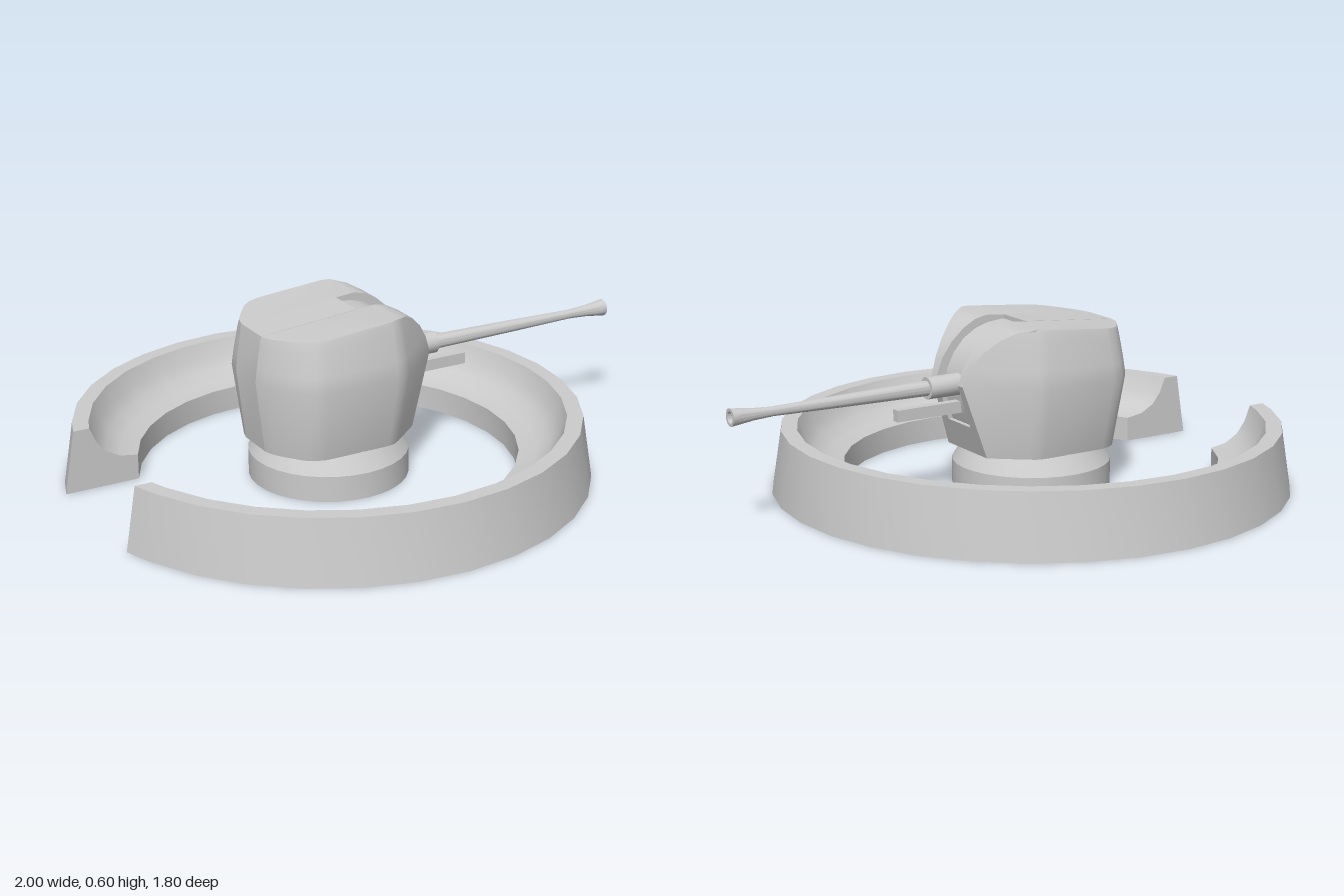
import * as THREE from 'three';
import { toCreasedNormals } from 'three/addons/utils/BufferGeometryUtils.js';

const CX = -0.14; // axis of ring and pedestal
const GAP = 0.25; // half width of the ring opening

const material = new THREE.MeshStandardMaterial({ color: 0xcccccc });
const openMaterial = new THREE.MeshStandardMaterial({ color: 0xcccccc, side: THREE.DoubleSide });

// Skin a list of cross-sections (arrays of [x, y, z]); caps are fans
function loft(sections, closed, crease) {
  const pos = sections.flat(2), idx = [];
  const n = sections[0].length;
  for (let i = 0; i < sections.length - 1; i++) {
    for (let j = 0; j < (closed ? n : n - 1); j++) {
      const k = (j + 1) % n;
      const a = i * n + j, b = i * n + k, c = b + n, d = a + n;
      idx.push(a, b, c, a, c, d);
    }
  }
  if (closed) {
    for (const i of [0, sections.length - 1]) {
      const centre = [0, 1, 2].map((q) => sections[i].reduce((t, p) => t + p[q], 0) / n);
      const m = pos.length / 3;
      pos.push(...centre);
      for (let j = 0; j < n; j++) {
        const a = i * n + j, b = i * n + ((j + 1) % n);
        if (i) idx.push(m, a, b); else idx.push(m, b, a);
      }
    }
  }
  const g = new THREE.BufferGeometry();
  g.setAttribute('position', new THREE.Float32BufferAttribute(pos, 3));
  g.setIndex(idx);
  return toCreasedNormals(g, crease);
}

function shapeOf(points) {
  return new THREE.Shape(points.map(([x, y]) => new THREE.Vector2(x, y)));
}

function add(parent, name, geometry, mat = material) {
  const mesh = new THREE.Mesh(geometry, mat);
  mesh.name = name;
  parent.add(mesh);
  return mesh;
}

// Parapet ring: wall profile swept round, cut flat at the opening
function buildRing(parent) {
  const ring = new THREE.Group();
  ring.name = 'parapetRing';
  parent.add(ring);
  const profile = [[0.9, 0], [0.865, 0.22], [0.81, 0.22], [0.788, 0.165],
    [0.757, 0.125], [0.71, 0.098], [0.65, 0.088], [0.65, 0]];
  const sections = [];
  for (let k = -15; k <= 15; k++) {
    sections.push(profile.map(([r, y]) => {
      const end = Math.PI - Math.asin(GAP / r);
      const a = Math.abs(k) === 15 ? Math.sign(k) * end
        : THREE.MathUtils.clamp(k * Math.PI / 16, -end, end);
      return [CX + r * Math.cos(a), y, r * Math.sin(a)];
    }));
  }
  add(ring, 'ringWall', loft(sections, false, 0.5), openMaterial);
  // flat end faces
  const end = shapeOf(profile.map(([r, y]) => [CX - Math.sqrt(r * r - GAP * GAP), y]));
  for (const z of [-GAP, GAP]) {
    add(ring, 'ringEnd', new THREE.ShapeGeometry(end), openMaterial).position.z = z;
  }
}

// One cheek of the turret, from the gun slot outwards
function cheekSections(side) {
  const slot = 0.07;
  const plan = [[-0.45, slot], [-0.437, 0.13], [-0.4, 0.19], [-0.36, 0.245], [-0.33, 0.267],
    [-0.29, 0.28], [-0.03, 0.28], [0, 0.272], [0.03, 0.25]];
  // height, width scale, front limit
  const levels = [[0.15, 0.84, 0.12], [0.4, 1, 0.2], [0.46, 0.97, 0.178], [0.515, 0.935, 0.14],
    [0.56, 0.905, 0.09], [0.585, 0.885, 0.045], [0.595, 0.875, 0]];
  const slope = (u) => Math.min(0.28, 0.25 - (u - 0.03) * 0.88);
  return levels.map(([y, s, front]) => {
    const sx = 1 - (1 - s) * 0.6;
    const fu = (front + 0.13) / sx - 0.13;
    const outline = plan.map(([u, z]) => (u > fu ? [fu, slope(fu)] : [u, z]));
    outline.push([fu, slope(fu)], [fu, slot / s]);
    const pts = outline.map(([u, z], i) => {
      const x = -0.13 + (u + 0.13) * sx;
      // the roof slopes down towards the back
      const roof = 0.595 + Math.min(0, x + 0.02) * 0.09;
      const h = y > 0.4 ? 0.4 + (y - 0.4) * (roof - 0.4) / 0.195 : y;
      return [x, h, side * (i === 0 ? slot : z * s)];
    });
    return side > 0 ? pts : pts.reverse();
  });
}

function buildTurret(parent) {
  const turret = new THREE.Group();
  turret.name = 'turret';
  parent.add(turret);
  for (const side of [1, -1]) {
    add(turret, side > 0 ? 'leftCheek' : 'rightCheek', loft(cheekSections(side), true, 0.6));
  }
  // centre strip with the recessed curved mantlet
  const strip = shapeOf([[-0.419, 0.15], [0.12, 0.15], [0.152, 0.25], [0.135, 0.25], [0.152, 0.3],
    [0.165, 0.38], [0.155, 0.43], [0.13, 0.48], [0.09, 0.525], [0.04, 0.555], [-0.01, 0.57],
    [-0.07, 0.575], [-0.07, 0.59], [-0.426, 0.559], [-0.45, 0.4]]);
  const g = new THREE.ExtrudeGeometry(strip, { depth: 0.14, bevelEnabled: false });
  g.translate(0, 0, -0.07);
  add(turret, 'mantletStrip', toCreasedNormals(g, 0.5));
}

// Gun parts are turned along x
function turned(points) {
  const g = new THREE.LatheGeometry(points.map(([x, r]) => new THREE.Vector2(r, x)), 16);
  return toCreasedNormals(g.rotateZ(-Math.PI / 2), 0.5);
}

function buildGun(parent) {
  const gun = new THREE.Group();
  gun.name = 'gun';
  gun.position.y = 0.388;
  parent.add(gun);
  add(gun, 'sleeve', turned([[0.13, 0.038], [0.28, 0.038], [0.28, 0]]), openMaterial);
  add(gun, 'barrel', turned([[0.27, 0.026], [0.6, 0.021], [0.85, 0.016], [0.92, 0.02],
    [0.96, 0.025], [1, 0.03], [1, 0.02], [0.94, 0.012], [0.94, 0]]), openMaterial);
  const bar = add(gun, 'lowerBar', new THREE.BoxGeometry(0.28, 0.04, 0.03));
  bar.position.set(0.26, -0.078, 0);
}

export function createModel() {
  const model = new THREE.Group();
  model.name = 'gunEmplacement';
  buildRing(model);
  // open pedestal under the turret
  const base = new THREE.LatheGeometry([[0.275, 0], [0.275, 0.09], [0.235, 0.152]]
    .map(([r, y]) => new THREE.Vector2(r, y)), 32);
  add(model, 'pedestal', toCreasedNormals(base, 0.5), openMaterial).position.x = CX;
  buildTurret(model);
  buildGun(model);
  return model;
}
